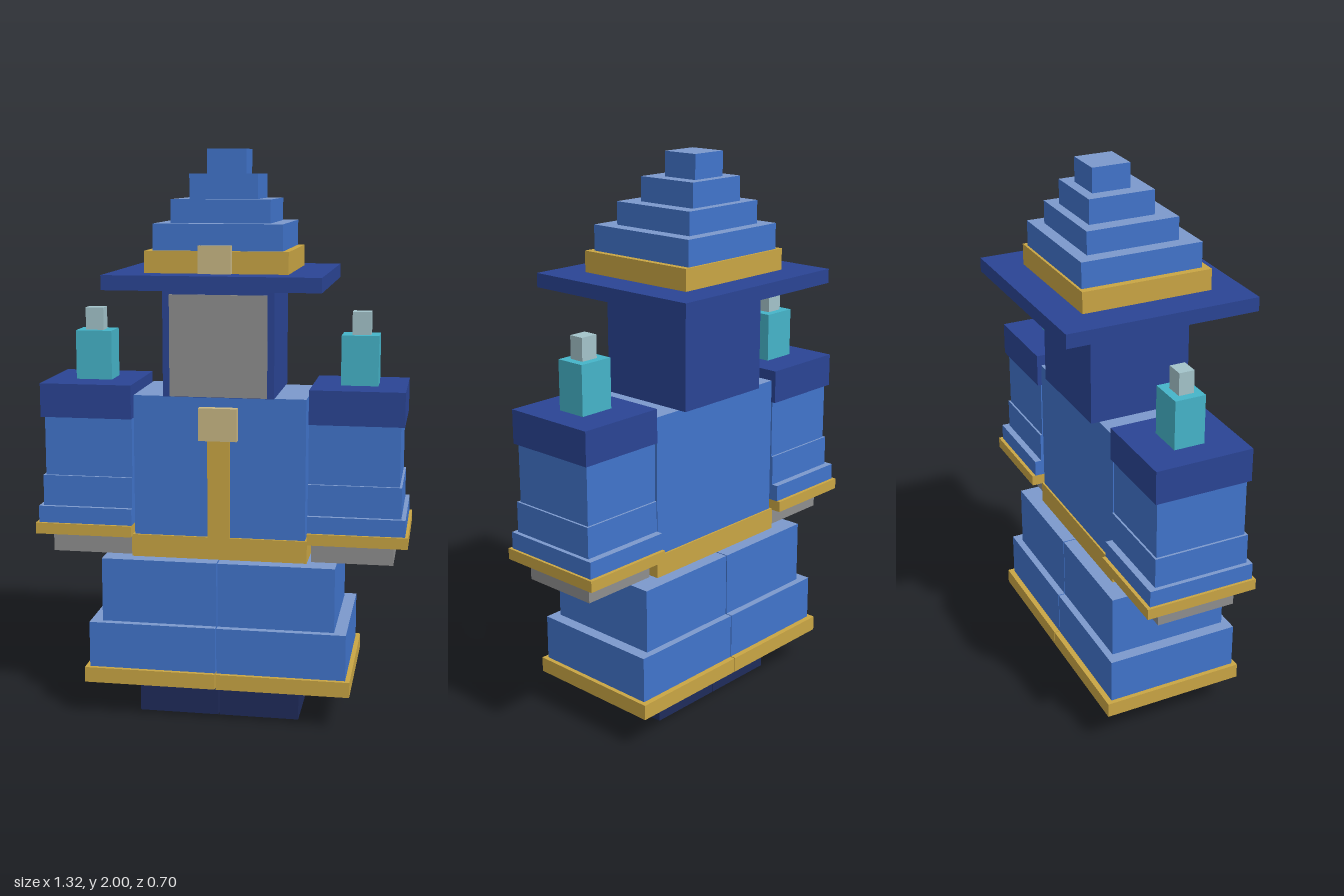
import * as THREE from 'three';

export function createModel() {
  const root = new THREE.Group();
  root.name = 'blockWizard';

  const mat = (name, color) => {
    const m = new THREE.MeshStandardMaterial({ color });
    m.name = name;
    return m;
  };
  const blue = mat('robeBlue', 0x4174cb);
  const paleBlue = mat('robeTopBlue', 0x7c99cc);
  const navy = mat('navy', 0x2a4494);
  const darkNavy = mat('shoeNavy', 0x1f2b5a);
  const gold = mat('gold', 0xc9a544);
  const tan = mat('buckleTan', 0xc9b784);
  const gray = mat('skinGray', 0x8e8e8e);
  const teal = mat('crystalTeal', 0x45b4c9);
  const ice = mat('crystalTip', 0xa3c3ca);

  // Cloth blocks have a paler top face (box group 2)
  const cloth = [blue, blue, paleBlue, blue, blue, blue];

  // Box given by its extents on each axis
  const block = (parent, name, material, [x0, x1], [y0, y1], [z0, z1]) => {
    const mesh = new THREE.Mesh(new THREE.BoxGeometry(x1 - x0, y1 - y0, z1 - z0), material);
    mesh.position.set((x0 + x1) / 2, (y0 + y1) / 2, (z0 + z1) / 2);
    mesh.name = name;
    parent.add(mesh);
  };

  // Mirrored legs and arms
  for (const side of [1, -1]) {
    const span = (a, b) => (side > 0 ? [a, b] : [-b, -a]);
    const word = side > 0 ? 'left' : 'right';

    const leg = new THREE.Group();
    leg.name = word + 'Leg';
    const gap = 0.002;
    block(leg, 'shoe', darkNavy, span(gap, 0.287), [0, 0.12], [-0.145, 0.19]);
    block(leg, 'robeHem', gold, span(gap, 0.473), [0.125, 0.18], [-0.255, 0.27]);
    block(leg, 'lowerSkirt', cloth, span(gap, 0.457), [0.18, 0.345], [-0.235, 0.255]);
    block(leg, 'upperSkirt', cloth, span(gap, 0.414), [0.345, 0.575], [-0.21, 0.23]);
    root.add(leg);

    const arm = new THREE.Group();
    arm.name = word + 'Arm';
    block(arm, 'hand', gray, span(0.322, 0.61), [0.575, 0.65], [-0.135, 0.155]);
    block(arm, 'cuff', gold, span(0.312, 0.66), [0.65, 0.69], [-0.2, 0.21]);
    block(arm, 'sleeveFlare', cloth, span(0.312, 0.65), [0.69, 0.75], [-0.187, 0.2]);
    block(arm, 'lowerSleeve', cloth, span(0.312, 0.635), [0.75, 0.86], [-0.162, 0.185]);
    block(arm, 'upperSleeve', cloth, span(0.312, 0.627), [0.86, 1.07], [-0.155, 0.175]);
    block(arm, 'shoulderPad', navy, span(0.312, 0.64), [1.07, 1.19], [-0.167, 0.185]);
    block(arm, 'crystal', teal, span(0.41, 0.54), [1.19, 1.365], [-0.05, 0.06]);
    block(arm, 'crystalTip', ice, span(0.445, 0.51), [1.365, 1.445], [-0.022, 0.033]);
    root.add(arm);
  }

  // Body
  block(root, 'belt', gold, [-0.315, 0.31], [0.575, 0.655], [-0.162, 0.18]);
  block(root, 'lowerTorso', cloth, [-0.305, 0.302], [0.655, 0.86], [-0.155, 0.172]);
  block(root, 'upperTorso', cloth, [-0.305, 0.302], [0.86, 1.155], [-0.155, 0.172]);
  block(root, 'robeTrim', gold, [-0.042, 0.037], [0.655, 1.01], [0.172, 0.181]);
  block(root, 'chestClasp', tan, [-0.07, 0.065], [1.005, 1.12], [0.172, 0.203]);

  // Head
  block(root, 'hood', navy, [-0.197, 0.192], [1.155, 1.535], [-0.185, 0.184]);
  block(root, 'face', gray, [-0.173, 0.168], [1.157, 1.51], [0.184, 0.188]);

  // Hat, its steps leaning backwards
  const hat = new THREE.Group();
  hat.name = 'hat';
  block(hat, 'brim', navy, [-0.37, 0.368], [1.535, 1.585], [-0.348, 0.349]);
  block(hat, 'hatBand', gold, [-0.247, 0.245], [1.585, 1.66], [-0.235, 0.236]);
  block(hat, 'hatBuckle', tan, [-0.058, 0.054], [1.586, 1.68], [0.236, 0.265]);
  const steps = [
    [0.222, 1.66, 1.75, -0.226, 0.212],
    [0.172, 1.75, 1.83, -0.183, 0.15],
    [0.119, 1.83, 1.915, -0.15, 0.087],
    [0.069, 1.915, 2, -0.115, 0.022],
  ];
  steps.forEach(([w, y0, y1, z0, z1], i) =>
    block(hat, 'hatStep' + (i + 1), cloth, [-w, w], [y0, y1], [z0, z1]));
  root.add(hat);

  return root;
}
